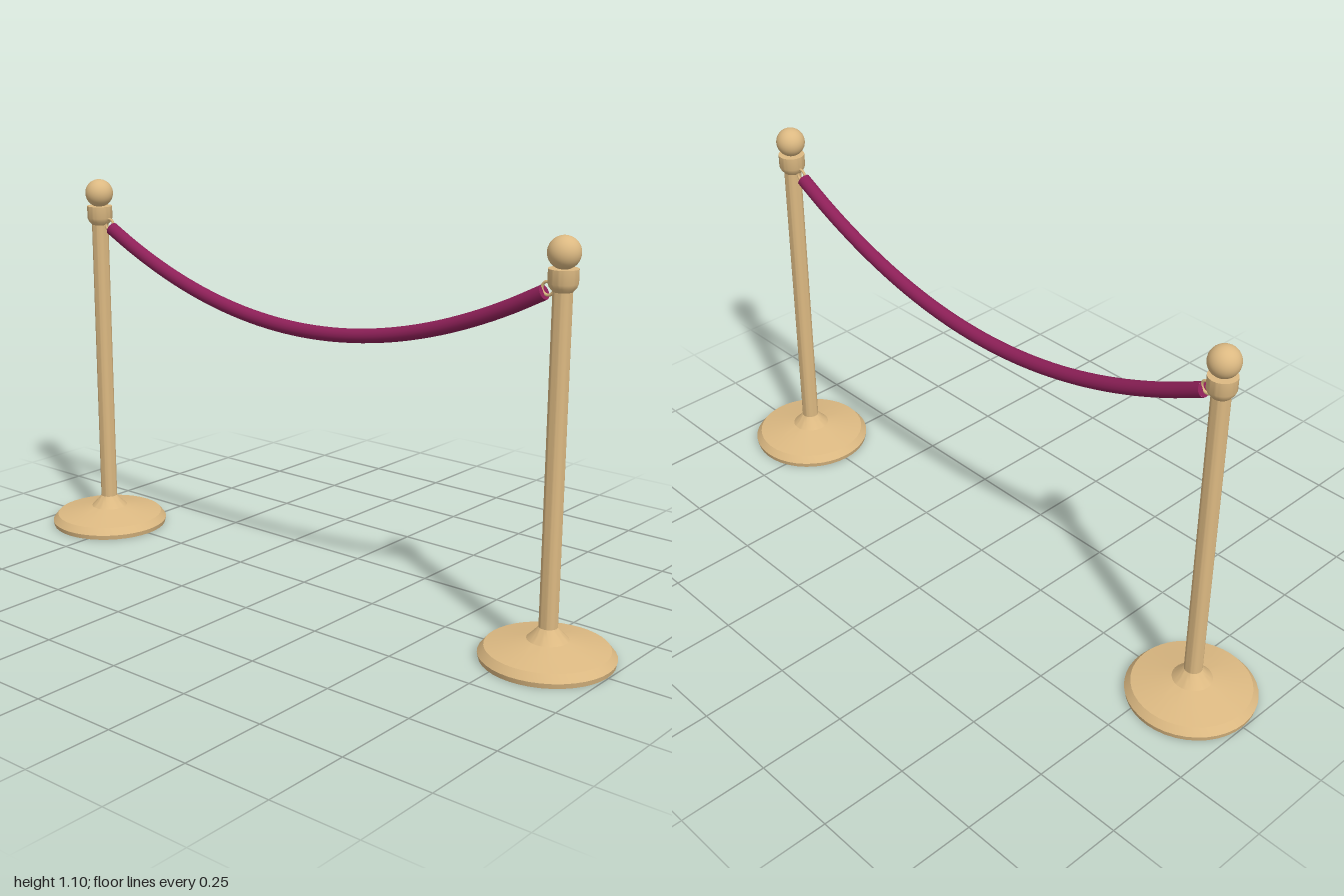
import * as THREE from 'three';
import { toCreasedNormals } from 'three/addons/utils/BufferGeometryUtils.js';

const POST_X = 0.82;

export function createModel() {
  const brass = new THREE.MeshStandardMaterial({ color: 0xdcb982 });
  brass.name = 'brass';
  const velvet = new THREE.MeshStandardMaterial({ color: 0x8e2058 });
  velvet.name = 'velvet';

  const model = new THREE.Group();
  model.name = 'ropeBarrier';
  const add = (parent, name, geometry, material, x = 0, y = 0) => {
    const mesh = new THREE.Mesh(geometry, material);
    mesh.name = name;
    mesh.position.set(x, y, 0);
    parent.add(mesh);
    return mesh;
  };
  const lathe = (profile) => toCreasedNormals(
    new THREE.LatheGeometry(profile.map(([r, y]) => new THREE.Vector2(r, y)), 40), 0.5);

  // Turned profiles, bottom to top
  const base = lathe([[0, 0], [0.177, 0], [0.18, 0.014], [0.164, 0.034],
    [0.11, 0.045], [0.055, 0.057], [0.038, 0.074], [0.025, 0.09]]);
  const pole = lathe([[0.025, 0.09], [0.025, 0.962]]);
  const collar = lathe([[0.025, 0.962], [0.034, 0.973], [0.038, 0.983],
    [0.038, 1.019], [0, 1.019]]);
  const ball = new THREE.SphereGeometry(0.042, 32, 20);
  const ring = new THREE.TorusGeometry(0.017, 0.004, 8, 20);

  // Rope sagging in a parabola between the posts
  const END = 0.768, LOW = 0.747, SAG = 0.207, ROPE_R = 0.02;
  const points = [];
  for (let i = 0; i <= 16; i++) {
    const t = i / 8 - 1;
    points.push(new THREE.Vector3(t * END, LOW + SAG * t * t, 0));
  }
  const curve = new THREE.CatmullRomCurve3(points);
  add(model, 'rope', new THREE.TubeGeometry(curve, 48, ROPE_R, 16), velvet);

  for (const side of [-1, 1]) {
    const post = new THREE.Group();
    post.name = side > 0 ? 'leftPost' : 'rightPost';
    post.position.x = side * POST_X;
    model.add(post);
    add(post, 'base', base, brass);
    add(post, 'pole', pole, brass);
    add(post, 'collar', collar, brass);
    add(post, 'ball', ball, brass, 0, 1.058);
    add(post, 'hookRing', ring, brass, -side * 0.042, 0.965);

    // Flat end closing the rope, facing along its tangent
    const u = side > 0 ? 1 : 0;
    const cap = add(model, 'ropeEnd', new THREE.CircleGeometry(ROPE_R, 16), velvet);
    cap.position.copy(curve.getPointAt(u));
    cap.quaternion.setFromUnitVectors(new THREE.Vector3(0, 0, 1),
      curve.getTangentAt(u).multiplyScalar(side));
  }
  return model;
}
